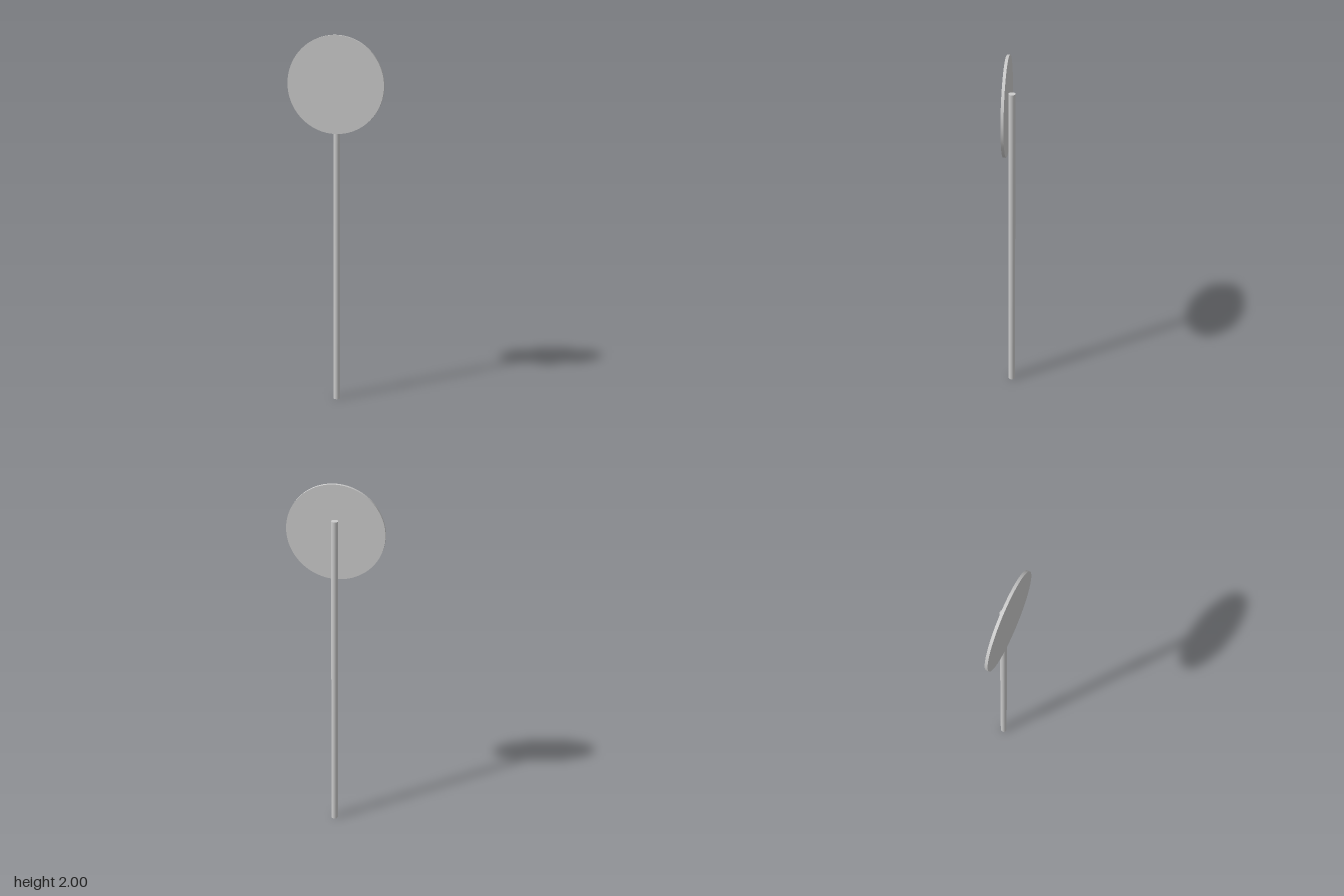
import * as THREE from 'three';

export function createModel() {
  const group = new THREE.Group();
  const material = new THREE.MeshStandardMaterial({ color: 0xcccccc });
  const poleRadius = 0.018, poleHeight = 1.815;
  const discRadius = 0.255, discDepth = 0.015;

  // Round upright, standing on the ground behind the disc
  const pole = new THREE.Mesh(
    new THREE.CylinderGeometry(poleRadius, poleRadius, poleHeight, 48), material);
  pole.name = 'pole';
  pole.position.set(0, poleHeight / 2, -0.008);
  group.add(pole);

  // Thin round sign plate facing the front, touching the pole
  const disc = new THREE.Mesh(
    new THREE.CylinderGeometry(discRadius, discRadius, discDepth, 96), material);
  disc.name = 'signDisc';
  disc.rotation.x = Math.PI / 2;
  disc.position.set(0, 2 - discRadius, 0.01 + discDepth / 2);
  group.add(disc);

  return group;
}
